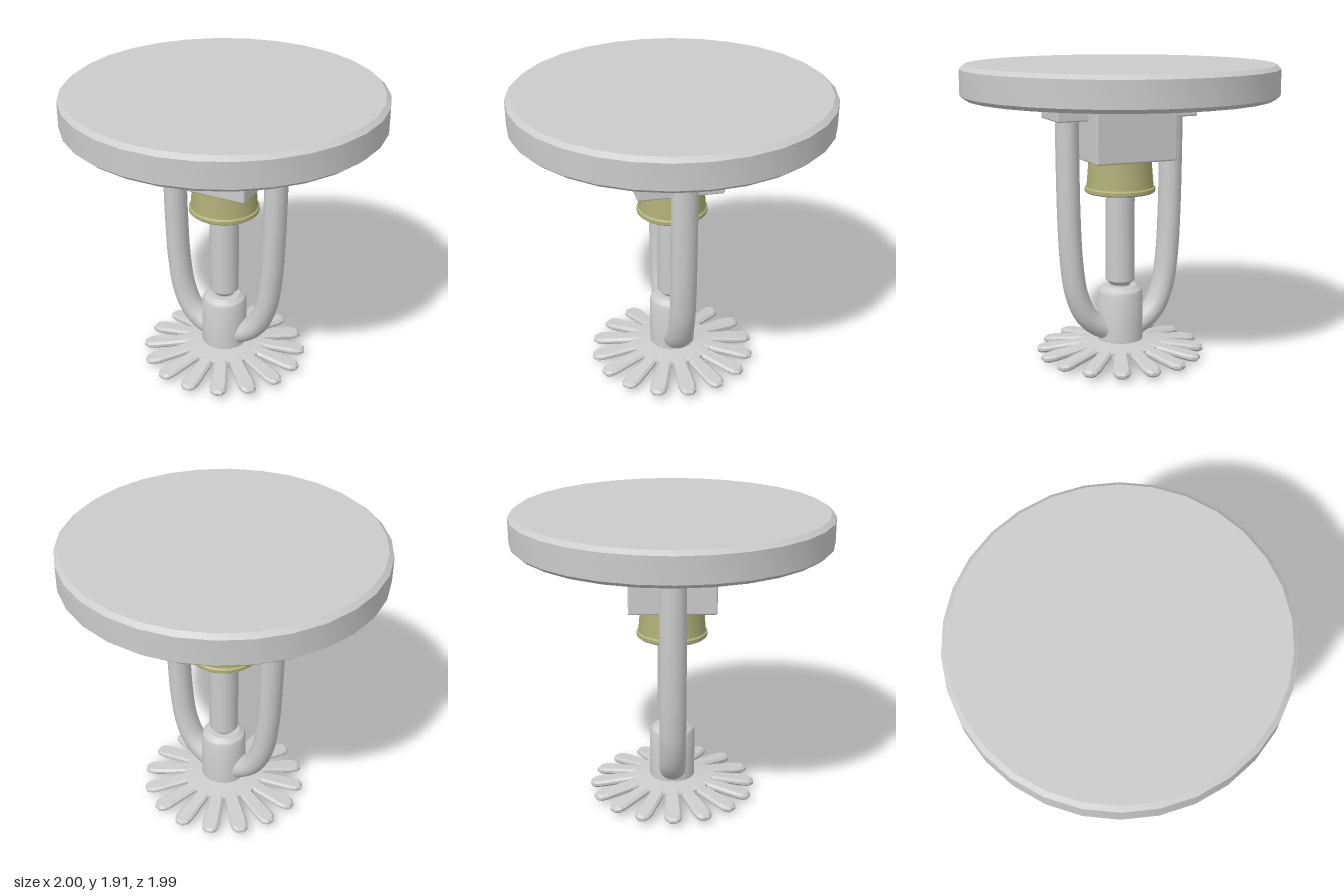
import * as THREE from 'three';
import { toCreasedNormals } from 'three/addons/utils/BufferGeometryUtils.js';
import { RoundedBoxGeometry } from 'three/addons/geometries/RoundedBoxGeometry.js';

export function createModel() {
  const model = new THREE.Group();
  const grey = new THREE.MeshStandardMaterial({ color: 0xcccccc });
  const olive = new THREE.MeshStandardMaterial({ color: 0xaeae78 });

  const add = (name, geometry, material = grey) => {
    const mesh = new THREE.Mesh(geometry, material);
    mesh.name = name;
    model.add(mesh);
    return mesh;
  };
  // Turned part; the profile runs counter-clockwise, from the bottom out and up
  const turned = (points, segments = 32) => toCreasedNormals(
    new THREE.LatheGeometry(points.map(([r, y]) => new THREE.Vector2(r, y)), segments).rotateY(Math.PI / 2), 0.5);

  // Ceiling plate, hollowed underneath
  add('ceilingPlate', turned([
    [0, 1.82], [0.735, 1.82], [0.735, 1.705], [0.97, 1.705], [1, 1.73], [1, 1.89], [0.97, 1.915], [0, 1.915],
  ], 30));

  // Square body under the plate
  const body = add('body', new RoundedBoxGeometry(0.545, 0.52, 0.545, 2, 0.012));
  body.position.y = 1.58;

  // Flared, open cup with a lip
  add('cup', turned([
    [0, 1.29], [0.17, 1.29], [0.2, 1.1], [0.218, 1.1], [0.226, 1.107], [0.226, 1.128],
    [0.215, 1.137], [0.2, 1.32], [0, 1.32],
  ]), olive);

  // Central stem and hub
  add('stem', turned([[0, 0.47], [0.065, 0.47], [0.065, 0.49], [0.095, 0.52], [0.095, 1.3], [0, 1.3]], 24));
  add('hub', turned([[0, 0.09], [0.148, 0.09], [0.148, 0.43], [0.138, 0.455], [0.105, 0.482], [0, 0.482]], 28));

  // Curved frame arms with their mounting lugs
  for (const side of [1, -1]) {
    const path = new THREE.CatmullRomCurve3([
      [0.36, 1.62], [0.358, 1.3], [0.352, 0.95], [0.337, 0.66], [0.305, 0.45], [0.24, 0.3], [0.14, 0.215], [0, 0.17],
    ].map(([x, y]) => new THREE.Vector3(side * x, y, 0)));
    const arm = add(side > 0 ? 'leftArm' : 'rightArm', new THREE.TubeGeometry(path, 40, 0.073, 20));
    arm.scale.z = 1.15;
    const lug = add(side > 0 ? 'leftLug' : 'rightLug', new RoundedBoxGeometry(0.23, 0.25, 0.29, 2, 0.01));
    lug.position.set(side * 0.36, 1.702, 0);
  }

  // Deflector: shallow dish with sixteen sloping teeth
  const deflector = new THREE.Group();
  deflector.name = 'deflector';
  model.add(deflector);
  const dish = new THREE.Mesh(turned([[0, 0.065], [0.12, 0.065], [0.27, 0.055], [0.27, 0.1], [0.14, 0.125], [0, 0.13]], 32), grey);
  dish.name = 'deflectorDish';
  deflector.add(dish);

  const outline = new THREE.Shape([
    [0.2, -0.028], [0.47, -0.042], [0.51, -0.036], [0.53, -0.018],
    [0.53, 0.018], [0.51, 0.036], [0.47, 0.042], [0.2, 0.028],
  ].map(([x, y]) => new THREE.Vector2(x, y)));
  const tooth = new THREE.ExtrudeGeometry(outline, {
    depth: 0.016, bevelEnabled: true, bevelThickness: 0.014, bevelSize: 0.014, bevelSegments: 1,
  });
  tooth.rotateX(-Math.PI / 2);
  const p = tooth.attributes.position;
  for (let i = 0; i < p.count; i++) p.setY(i, p.getY(i) + 0.083 - 0.13 * (p.getX(i) - 0.2));
  tooth.computeVertexNormals();
  for (let i = 0; i < 16; i++) {
    const mesh = new THREE.Mesh(tooth, grey);
    mesh.name = 'deflectorTooth';
    mesh.rotation.y = (i * Math.PI) / 8;
    deflector.add(mesh);
  }

  // Slotted screw and washer underneath
  add('washer', turned([[0, 0.035], [0.13, 0.035], [0.145, 0.048], [0.145, 0.08], [0, 0.08]], 28));
  add('screw', turned([[0, 0.015], [0.092, 0.015], [0.092, 0.07], [0, 0.07]], 24));
  const half = new THREE.Shape();
  const a = Math.asin(0.015 / 0.092);
  half.absarc(0, 0, 0.092, a, Math.PI - a, false);
  half.closePath();
  const halfHead = new THREE.ExtrudeGeometry(half, { depth: 0.016, bevelEnabled: false, curveSegments: 14 }).rotateX(-Math.PI / 2);
  for (const turn of [0, Math.PI]) add('screwHead', halfHead).rotation.y = turn;

  return model;
}
